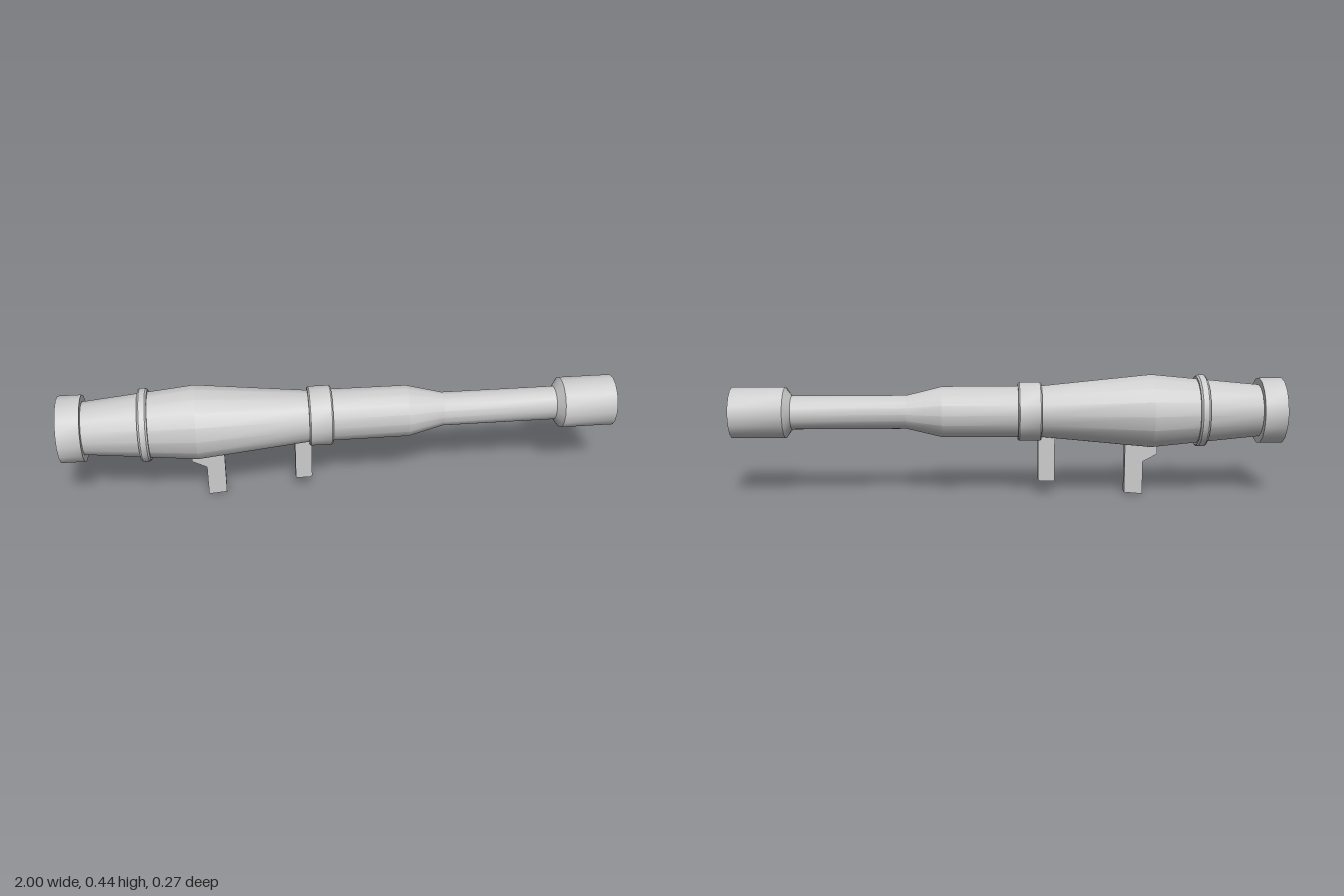
import * as THREE from 'three';
import { toCreasedNormals } from 'three/addons/utils/BufferGeometryUtils.js';

const AXIS_Y = 0.308;
const SIDES = 16;
const GRIP_WIDTH = 0.037;

export function createModel() {
  const group = new THREE.Group();
  const material = new THREE.MeshStandardMaterial({ color: 0xcccccc });

  const add = (name, geometry) => {
    const mesh = new THREE.Mesh(geometry, material);
    mesh.name = name;
    group.add(mesh);
    return mesh;
  };

  // Turned part lying along x, from [x, radius] pairs
  const turned = (name, profile) => {
    const points = profile.map(([x, r]) => new THREE.Vector2(r, x));
    const geometry = new THREE.LatheGeometry(points, SIDES).rotateZ(-Math.PI / 2);
    add(name, toCreasedNormals(geometry, 0.42)).position.y = AXIS_Y;
  };

  // Flat part cut from a side outline, centred on z = 0
  const grip = (name, outline) => {
    const shape = new THREE.Shape(outline.map(([x, y]) => new THREE.Vector2(x, y)));
    const geometry = new THREE.ExtrudeGeometry(shape, { depth: GRIP_WIDTH, bevelEnabled: false });
    add(name, geometry.translate(0, 0, -GRIP_WIDTH / 2));
  };

  // Tube with an open bore at the rear, a swollen chamber and a capped muzzle
  turned('tube', [
    [-0.75, 0], [-0.75, 0.065], [-1, 0.065],
    [-1, 0.121], [-0.917, 0.121], [-0.917, 0.096],
    [-0.52, 0.135], [-0.12, 0.095], [0.24, 0.094],
    [0.37, 0.062], [0.785, 0.062], [0.808, 0.094], [1, 0.094], [1, 0],
  ]);

  // Raised bands around the tube
  turned('rearBand', [
    [-0.72, 0.1], [-0.72, 0.127], [-0.713, 0.133],
    [-0.692, 0.133], [-0.686, 0.127], [-0.686, 0.1],
  ]);
  turned('middleCollar', [
    [-0.12, 0.085], [-0.12, 0.104], [-0.115, 0.109],
    [-0.04, 0.109], [-0.035, 0.104], [-0.035, 0.085],
  ]);

  // Handles below the tube
  grip('rearGrip', [
    [-0.547, 0.21], [-0.547, 0.15], [-0.495, 0.122],
    [-0.495, 0], [-0.428, 0.006], [-0.428, 0.21],
  ]);
  grip('frontGrip', [
    [-0.17, 0.235], [-0.17, 0.05], [-0.118, 0.05], [-0.109, 0.056], [-0.109, 0.235],
  ]);

  return group;
}
